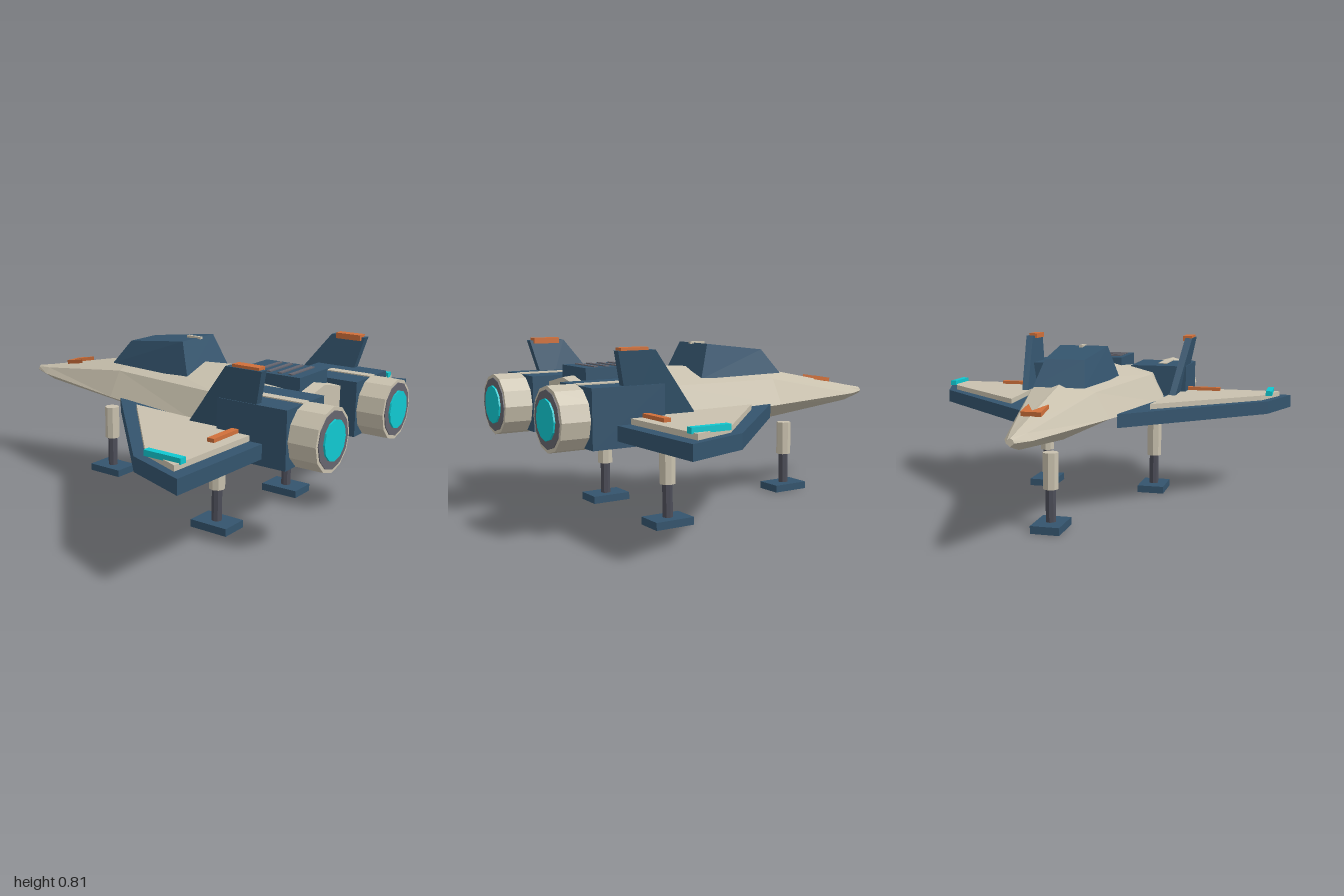
import * as THREE from 'three';

const mat = (name, color, extra = {}) => {
  const m = new THREE.MeshStandardMaterial({ color, flatShading: true, ...extra });
  m.name = name;
  return m;
};

// Skin a list of rings (each counter-clockwise seen from the last ring's end) and cap both ends.
function loft(rings) {
  const n = rings[0].length, pos = [];
  const tri = (...p) => p.forEach(v => pos.push(...v));
  for (let r = 0; r < rings.length - 1; r++) {
    for (let i = 0; i < n; i++) {
      const j = (i + 1) % n, A = rings[r], B = rings[r + 1];
      tri(A[i], A[j], B[j]);
      tri(A[i], B[j], B[i]);
    }
  }
  const first = rings[0], last = rings[rings.length - 1];
  for (let i = 1; i < n - 1; i++) {
    tri(first[0], first[i + 1], first[i]);
    tri(last[0], last[i], last[i + 1]);
  }
  const g = new THREE.BufferGeometry();
  g.setAttribute('position', new THREE.Float32BufferAttribute(pos, 3));
  g.computeVertexNormals();
  return g;
}

// Solid between a bottom outline and a top outline of [x, z] points, in either winding.
function slab(bottom, y0, y1, top = bottom) {
  let area = 0;
  bottom.forEach(([x, z], i) => {
    const [x2, z2] = bottom[(i + 1) % bottom.length];
    area += x * z2 - x2 * z;
  });
  const ring = (pts, y) => {
    const r = pts.map(([x, z]) => [x, y, z]);
    return area > 0 ? r.reverse() : r;
  };
  return loft([ring(bottom, y0), ring(top, y1)]);
}

const rect = (x0, x1, z0, z1) => [[x0, z0], [x1, z0], [x1, z1], [x0, z1]];

export function createModel() {
  const hullMat = mat('hull beige', 0xc9c1ae);
  const navy = mat('navy blue', 0x34546d);
  const teal = mat('glow teal', 0x10c8d0);
  const orange = mat('marking orange', 0xd0703a);
  const steel = mat('dark steel', 0x4c4d58);
  const grey = mat('vent grey', 0x66656e);

  const model = new THREE.Group();
  const add = (name, geo, material, parent = model) => {
    const m = new THREE.Mesh(geo, material);
    m.name = name;
    parent.add(m);
    return m;
  };
  const box = (name, material, x0, x1, y0, y1, z0, z1) =>
    add(name, slab(rect(x0, x1, z0, z1), y0, y1), material);

  // Fuselage: [z, chine x, chine y, shoulder x, shoulder y, ridge y, keel y]
  const stations = [
    [-1, 0.018, 0.49, 0.012, 0.503, 0.51, 0.475],
    [-0.9, 0.06, 0.485, 0.036, 0.515, 0.528, 0.445],
    [-0.28, 0.225, 0.485, 0.155, 0.605, 0.655, 0.378],
    [0.4, 0.36, 0.475, 0.285, 0.622, 0.695, 0.355],
    [0.78, 0.3, 0.46, 0.235, 0.61, 0.66, 0.4],
  ];
  add('fuselage', loft(stations.map(([z, cx, cy, sx, sy, top, keel]) => [
    [cx, cy, z], [sx, sy, z], [0, top, z], [-sx, sy, z], [-cx, cy, z], [0, keel, z],
  ])), hullMat);

  // Canopy with a small antenna plate on its roof
  add('canopy', slab(
    [[-0.122, -0.348], [0.122, -0.348], [0.168, 0.153], [-0.168, 0.153]], 0.63, 0.79,
    [[-0.095, -0.25], [0.095, -0.25], [0.122, 0.09], [-0.122, 0.09]],
  ), navy);
  // Roof slopes down toward the nose
  const canopy = model.getObjectByName('canopy').geometry;
  const p = canopy.attributes.position;
  for (let i = 0; i < p.count; i++) {
    if (p.getY(i) > 0.7 && p.getZ(i) < 0) p.setY(i, 0.75);
  }
  canopy.computeVertexNormals();
  box('canopyAntenna', hullMat, -0.008, 0.008, 0.785, 0.796, 0.03, 0.11);

  // Rear deck vent with slats
  box('ventHousing', navy, -0.12, 0.12, 0.63, 0.705, 0.405, 0.725);
  for (let i = 0; i < 4; i++) {
    const z = 0.495 + i * 0.056;
    box('ventSlat', grey, -0.097, 0.097, 0.702, 0.71, z - 0.01, z + 0.01);
  }

  // Nose chevron lying on the sloping ridge
  const chevron = new THREE.Group();
  chevron.name = 'noseChevron';
  chevron.position.set(0, 0.557, -0.745);
  chevron.rotation.x = -0.17;
  model.add(chevron);

  for (const s of [1, -1]) {
    const side = s > 0 ? 'left' : 'right';
    const flip = pts => pts.map(([x, z]) => [s * x, z]);
    const sbox = (name, m, x0, x1, y0, y1, z0, z1) =>
      add(side + name, slab(flip(rect(x0, x1, z0, z1)), y0, y1), m);

    add(side + 'ChevronArm', slab(flip([[0, 0], [0.045, 0], [0.045, 0.11], [0, 0.02]]), 0, 0.02), orange, chevron);

    // Wing with raised panel, tip light and marking
    add(side + 'Wing', slab(flip([
      [0.24, -0.2], [0.885, 0.435], [0.988, 0.73], [0.44, 0.747], [0.3, 0.747],
    ]), 0.43, 0.495), navy);
    add(side + 'WingPanel', slab(flip([
      [0.355, 0], [0.85, 0.465], [0.932, 0.672], [0.44, 0.685], [0.39, 0.5],
    ]), 0.49, 0.52), hullMat);
    sbox('WingLight', teal, 0.87, 0.902, 0.515, 0.54, 0.5, 0.68);
    sbox('WingMarking', orange, 0.43, 0.62, 0.515, 0.537, 0.597, 0.63);

    // Outward-leaning tail fin with cap
    add(side + 'Fin', slab(
      flip(rect(0.387, 0.42, 0.355, 0.68)), 0.52, 0.8,
      flip(rect(0.43, 0.468, 0.575, 0.75)),
    ), navy);
    sbox('FinCap', orange, 0.415, 0.462, 0.785, 0.812, 0.605, 0.733);

    // Engine: housing, top stripe, nozzle, rim and glow
    sbox('EngineHousing', navy, 0.148, 0.447, 0.4, 0.655, 0.52, 0.86);
    sbox('EngineStripe', hullMat, 0.275, 0.323, 0.652, 0.66, 0.64, 0.86);
    const disc = (name, m, r, z0, z1) => {
      const g = new THREE.CylinderGeometry(r, r, z1 - z0, 12).rotateX(Math.PI / 2);
      add(side + name, g, m).position.set(s * 0.297, 0.521, (z0 + z1) / 2);
    };
    disc('EngineNozzle', hullMat, 0.14, 0.82, 0.988);
    disc('EngineRim', grey, 0.124, 0.98, 0.992);
    disc('EngineGlow', teal, 0.088, 0.985, 1);
  }

  // Landing legs: one under the nose, two under the engines
  for (const [name, x, z] of [['noseLeg', 0, -0.475], ['leftLeg', 0.3, 0.422], ['rightLeg', -0.3, 0.422]]) {
    const leg = new THREE.Group();
    leg.name = name;
    leg.position.set(x, 0, z);
    add('foot', new THREE.BoxGeometry(0.136, 0.036, 0.194), navy, leg).position.y = 0.018;
    add('strut', new THREE.CylinderGeometry(0.024, 0.024, 0.2, 8), steel, leg).position.y = 0.13;
    add('sleeve', new THREE.CylinderGeometry(0.037, 0.037, 0.167, 8), hullMat, leg).position.y = 0.272;
    model.add(leg);
  }

  return model;
}
